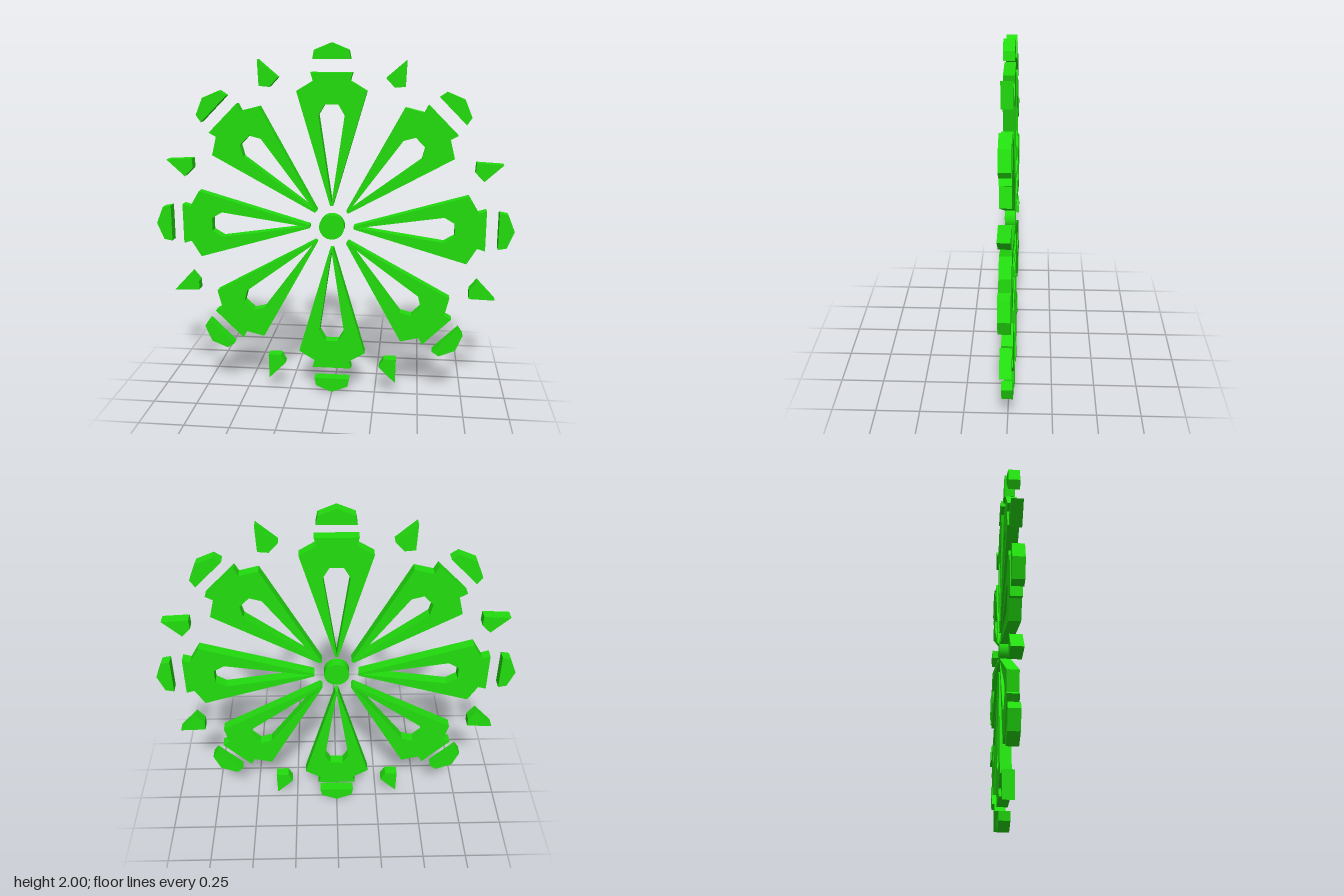
import * as THREE from 'three';

const DEPTH = 0.06;
const green = new THREE.MeshStandardMaterial({ color: 0x22dd0e, flatShading: true });
const hubGreen = new THREE.MeshStandardMaterial({ color: 0x22dd0e });

const toVectors = (points) => points.map(([x, y]) => new THREE.Vector2(x, y));

// Right half of an outline, mirrored across x = 0 into a closed loop
function mirrorLoop(half) {
  const left = half.filter(([x]) => x > 0).reverse().map(([x, y]) => [-x, y]);
  return toVectors([...half, ...left]);
}

// Flat plate centred on z = 0
function plate(name, outline, hole) {
  const shape = new THREE.Shape(outline);
  if (hole) shape.holes.push(new THREE.Path(hole));
  const geometry = new THREE.ExtrudeGeometry(shape, { depth: DEPTH, bevelEnabled: false });
  geometry.translate(0, 0, -DEPTH / 2);
  const mesh = new THREE.Mesh(geometry, green);
  mesh.name = name;
  return mesh;
}

export function createModel() {
  const model = new THREE.Group();
  model.name = 'petalWheel';
  const wheel = new THREE.Group();
  wheel.name = 'wheel';
  wheel.position.y = 1;
  wheel.rotation.x = 0.0055; // very slight forward lean
  model.add(wheel);

  // Round hub
  const hubGeometry = new THREE.CylinderGeometry(0.07, 0.07, DEPTH, 32);
  hubGeometry.rotateX(Math.PI / 2);
  const hub = new THREE.Mesh(hubGeometry, hubGreen);
  hub.name = 'hub';
  wheel.add(hub);

  // Eight pierced petals, each with a peaked cap beyond its tip
  const petalOutline = mirrorLoop([
    [0.008, 0.123], [0.19, 0.748], [0.1, 0.802], [0.113, 0.846],
  ]);
  const petalHole = mirrorLoop([[0, 0.14], [0.071, 0.62], [0.037, 0.678]]);
  const capOutline = mirrorLoop([[0.102, 0.915], [0.093, 0.962], [0, 1]]);
  for (let i = 0; i < 8; i++) {
    const arm = new THREE.Group();
    arm.name = `arm${i + 1}`;
    arm.rotation.z = (i * Math.PI) / 4;
    arm.add(plate('petal', petalOutline, petalHole), plate('cap', capOutline));
    wheel.add(arm);
  }

  // Pointed shards between the caps, mirrored left and right
  const shards = {
    upperShard: [[0.399, 0.912], [0.289, 0.818], [0.336, 0.768], [0.393, 0.773]],
    sideUpperShard: [[0.925, 0.366], [0.78, 0.374], [0.777, 0.32], [0.824, 0.273]],
    sideLowerShard: [[0.914, -0.396], [0.77, -0.392], [0.77, -0.342], [0.813, -0.288]],
    lowerShard: [[0.369, -0.925], [0.372, -0.78], [0.3, -0.78], [0.273, -0.829]],
  };
  for (const [name, points] of Object.entries(shards)) {
    for (const [side, sign] of [['left', 1], ['right', -1]]) {
      wheel.add(plate(`${side} ${name}`, toVectors(points.map(([x, y]) => [sign * x, y]))));
    }
  }
  return model;
}
